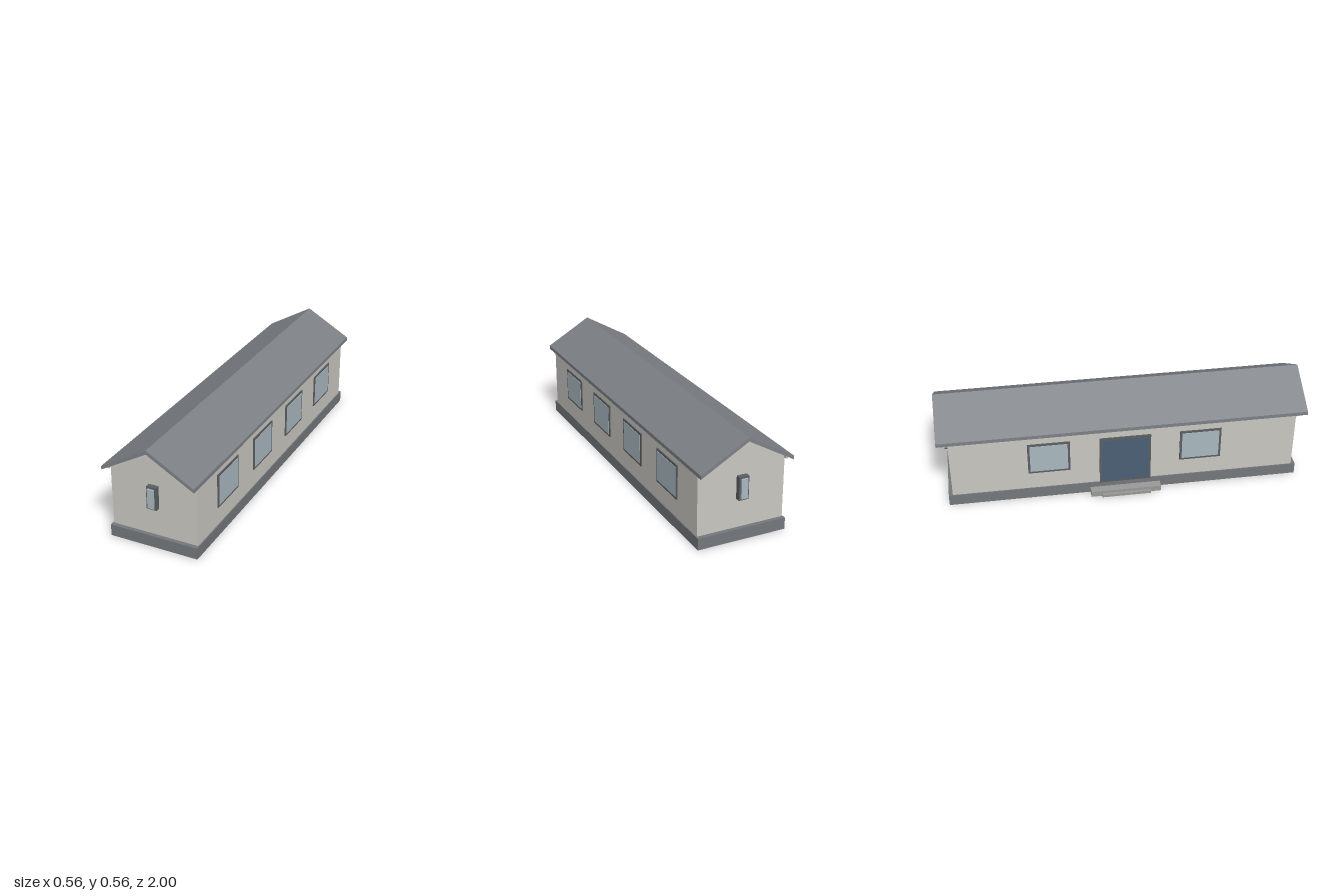
import * as THREE from 'three';

const paint = (color) => new THREE.MeshStandardMaterial({ color });
const mats = {
  wall: paint(0xcac8c2), roof: paint(0x7d8186), base: paint(0x74787c), frame: paint(0x5c5f62),
  glass: paint(0xa9b9c1), door: paint(0x4a6074), step: paint(0x9a9a98),
};

// Box from its lower and upper corners
function box(name, mat, [x0, y0, z0], [x1, y1, z1]) {
  const mesh = new THREE.Mesh(new THREE.BoxGeometry(x1 - x0, y1 - y0, z1 - z0), mat);
  mesh.position.set((x0 + x1) / 2, (y0 + y1) / 2, (z0 + z1) / 2);
  mesh.name = name;
  return mesh;
}

// Outline in x/y extruded along z, centred on z = 0
function prism(name, mat, points, length) {
  const shape = new THREE.Shape(points.map(([x, y]) => new THREE.Vector2(x, y)));
  const geo = new THREE.ExtrudeGeometry(shape, { depth: length, bevelEnabled: false });
  geo.translate(0, 0, -length / 2);
  const mesh = new THREE.Mesh(geo, mat);
  mesh.name = name;
  return mesh;
}

// Framed panel facing +z, standing on its bottom edge; the pane sits proud of the frame
function opening(name, w, h, border, frameDepth, paneDepth, paneMat) {
  const g = new THREE.Group();
  g.name = name;
  g.add(
    box('frame', mats.frame, [-w / 2, 0, -0.005], [w / 2, h, frameDepth]),
    box('pane', paneMat, [-w / 2 + border, border, 0], [w / 2 - border, h - border, paneDepth]),
  );
  return g;
}

export function createModel() {
  const house = new THREE.Group();
  house.name = 'house';
  const body = new THREE.Group(); // symmetric about its own x = 0
  body.name = 'building';
  body.position.x = 0.024;
  house.add(body);

  const W = 0.238, L = 0.94; // half width and half length of the walls

  body.add(box('foundation', mats.base, [-0.2435, 0, -0.962], [0.2435, 0.063, 0.962]));
  body.add(box('walls', mats.wall, [-W, 0.063, -L], [W, 0.418, L]));

  // Gables under the roof
  body.add(prism('gables', mats.wall, [[-0.216, 0.418], [0.216, 0.418], [0, 0.543]], 2 * L + 0.012));

  // Pitched roof with overhang
  body.add(prism('roof', mats.roof, [
    [-0.253, 0.397], [0, 0.542], [0.253, 0.397], [0.253, 0.417], [0, 0.563], [-0.253, 0.417],
  ], 2));

  // Eave trim along both long walls
  for (const s of [-1, 1]) {
    const trim = box('eaveTrim', mats.wall, [-0.005, 0.387, -0.96], [0.005, 0.409, 0.96]);
    trim.position.x = s * 0.2385;
    body.add(trim);
  }

  // Wide windows: four on the right-hand view side, two beside the door
  const addSide = (part, side, y, z) => {
    part.position.set(side * W, y, z);
    part.rotation.y = side * Math.PI / 2;
    body.add(part);
  };
  const sideWindow = () => opening('sideWindow', 0.228, 0.187, 0.012, 0.006, 0.008, mats.glass);
  for (const z of [-0.62, -0.207, 0.207, 0.62]) addSide(sideWindow(), 1, 0.165, z);
  for (const z of [-0.413, 0.413]) addSide(sideWindow(), -1, 0.165, z);

  // Entrance door
  addSide(opening('door', 0.28, 0.292, 0.012, 0.008, 0.0095, mats.door), -1, 0.06, 0);

  // Narrow window in each end wall
  for (const s of [-1, 1]) {
    const win = opening('endWindow', 0.054, 0.125, 0.0095, 0.027, 0.036, mats.glass);
    win.position.set(0, 0.22, s * L);
    win.rotation.y = s > 0 ? 0 : Math.PI;
    body.add(win);
  }

  // Entrance steps
  house.add(box('upperStep', mats.step, [-0.265, 0, -0.193], [-0.215, 0.032, 0.193]));
  house.add(box('lowerStep', mats.step, [-0.279, 0, -0.135], [-0.26, 0.016, 0.135]));

  return house;
}
